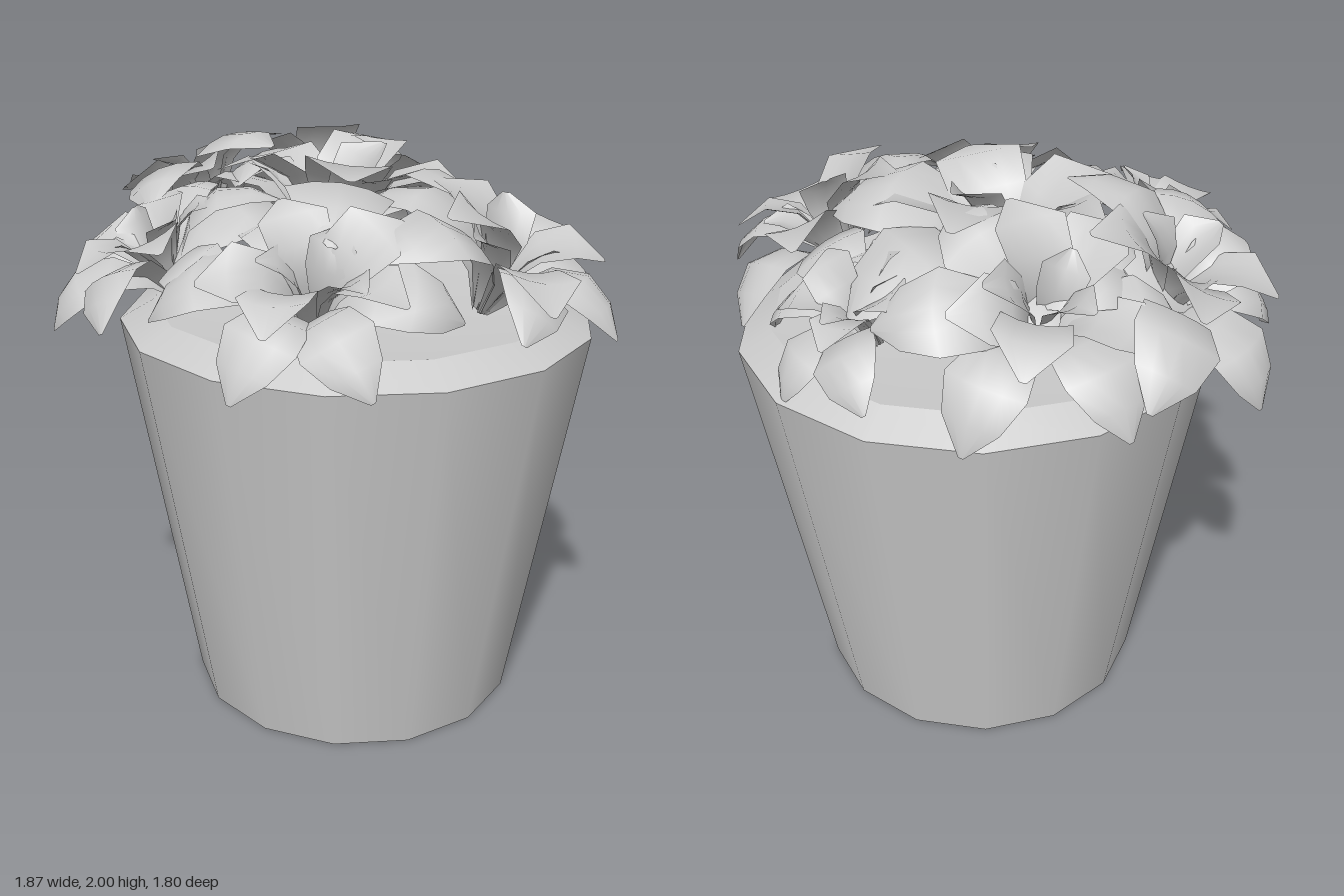
import * as THREE from 'three';

const grey = new THREE.MeshStandardMaterial({ color: 0xcccccc });
const thin = new THREE.MeshStandardMaterial({ color: 0xcccccc, side: THREE.DoubleSide });

// Small seeded generator for natural variation
function seeded(seed) {
  return () => (seed = (seed * 16807) % 2147483647) / 2147483647;
}

// One 14-sided band of the pot
function band(name, points) {
  const profile = points.map(([r, y]) => new THREE.Vector2(r, y));
  const mesh = new THREE.Mesh(new THREE.LatheGeometry(profile, 14, Math.PI / 2), grey);
  mesh.name = name;
  return mesh;
}

// Petal from cross-sections [reach, height, half width], cupped across its width
function petalGeometry(sections, cup) {
  const across = [-1, -0.5, 0, 0.5, 1];
  const pos = [], index = [];
  sections.forEach(([r, h, w], i) => {
    for (const u of across) pos.push(r - 0.15 * w * u * u, h + cup * w * u * u, w * u);
    if (i === 0) return;
    for (let j = 0; j < across.length - 1; j++) {
      const a = (i - 1) * across.length + j, b = a + across.length;
      index.push(a, a + 1, b, b, a + 1, b + 1);
    }
  });
  const g = new THREE.BufferGeometry();
  g.setAttribute('position', new THREE.Float32BufferAttribute(pos, 3));
  g.setIndex(index);
  g.computeVertexNormals();
  return g;
}

const outerPetal = petalGeometry(
  [[0.02, 0, 0.02], [0.07, 0.11, 0.055], [0.16, 0.19, 0.095], [0.27, 0.21, 0.12], [0.36, 0.16, 0.085], [0.42, 0.08, 0.008]], -0.2);
const middlePetal = petalGeometry(
  [[0.02, 0, 0.02], [0.05, 0.13, 0.05], [0.11, 0.22, 0.09], [0.2, 0.26, 0.1], [0.29, 0.23, 0.01]], 0.1);
const innerPetal = petalGeometry(
  [[0.01, 0, 0.015], [0.03, 0.1, 0.03], [0.06, 0.18, 0.06], [0.11, 0.24, 0.07], [0.17, 0.26, 0.01]], 0.3);

// Trumpet-shaped blossom with three whorls of petals
function flower(spin, rand) {
  const g = new THREE.Group();
  const whorls = [
    ['outerPetal', outerPetal, 6, 0],
    ['middlePetal', middlePetal, 5, 0.5],
    ['innerPetal', innerPetal, 3, 0.2]
  ];
  for (const [name, geometry, count, offset] of whorls) {
    for (let i = 0; i < count; i++) {
      const petal = new THREE.Mesh(geometry, thin);
      petal.name = name;
      petal.rotation.set((rand() - 0.5) * 0.5, spin + offset + (i / count) * Math.PI * 2, (rand() - 0.5) * 0.35, 'YXZ');
      petal.scale.setScalar(0.93 + rand() * 0.17);
      g.add(petal);
    }
  }
  return g;
}

export function createModel() {
  const model = new THREE.Group();
  model.name = 'flowerPot';

  // Tapered pot with bevelled rim and a shallow bed of soil
  const pot = new THREE.Group();
  pot.name = 'pot';
  pot.position.set(0.09, 0, 0.025);
  pot.add(
    band('potBase', [[0, 0], [0.59, 0]]),
    band('potWall', [[0.59, 0], [0.826, 1.405]]),
    band('potRim', [[0.826, 1.405], [0.71, 1.47]]),
    band('soil', [[0.71, 1.47], [0.45, 1.45], [0, 1.44]])
  );
  model.add(pot);

  // Blossoms: base x, y, z, outward tilt, scale, spin
  const blossoms = [
    [-0.52, 1.52, 0.12, 0.5, 1.0, Math.PI],
    [-0.38, 1.57, -0.4, 0.52, 1.12, 3.3],
    [0.02, 1.58, -0.47, 0.58, 1.16, 1.9],
    [0.48, 1.52, -0.23, 0.42, 0.9, 0.3],
    [0.47, 1.5, 0.33, 0.42, 1.17, -0.58],
    [-0.1, 1.5, 0.47, 0.48, 1.13, -1.2],
    [0.0, 1.54, -0.05, 0.05, 1.48, 0.4]
  ];
  const rand = seeded(4711);
  const up = new THREE.Vector3(0, 1, 0);
  const bouquet = new THREE.Group();
  bouquet.name = 'bouquet';
  for (const [x, y, z, tilt, scale, spin] of blossoms) {
    const f = flower(spin, rand);
    f.name = 'flower';
    f.position.set(x, y, z);
    f.scale.setScalar(scale);
    const axis = new THREE.Vector3(x, 0, z).normalize().multiplyScalar(Math.sin(tilt));
    axis.y = Math.cos(tilt);
    f.quaternion.setFromUnitVectors(up, axis);
    bouquet.add(f);
  }
  model.add(bouquet);
  return model;
}
